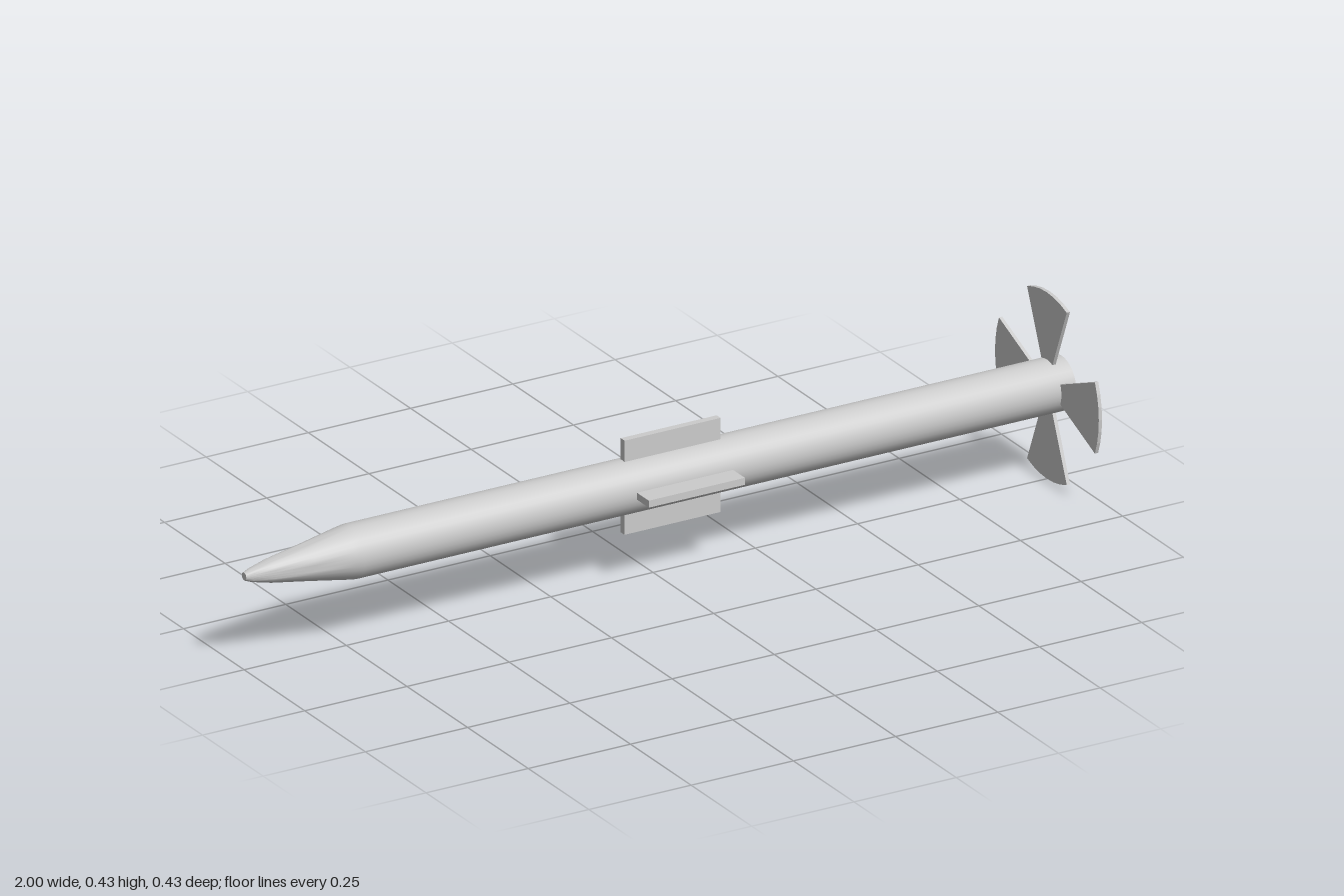
import * as THREE from 'three';
import { toCreasedNormals } from 'three/addons/utils/BufferGeometryUtils.js';

const AXIS_Y = 0.215;

export function createModel() {
  const model = new THREE.Group();
  model.name = 'torpedo';
  const material = new THREE.MeshStandardMaterial({ color: 0xcccccc });

  const add = (parent, name, geometry) => {
    const mesh = new THREE.Mesh(geometry, material);
    mesh.name = name;
    parent.add(mesh);
    return mesh;
  };

  // Hull: turned profile from the flat tail (x = 1) to the blunt nose tip (x = -1)
  const profile = [
    [0, -1], [0.06, -1], [0.06, 0.74], [0.055, 0.7], [0.041, 0.85],
    [0.026, 0.94], [0.015, 0.985], [0.009, 1], [0, 1],
  ].map(([r, h]) => new THREE.Vector2(r, h));
  profile[3].set(0.057, 0.76);
  const hull = add(model, 'hull',
    toCreasedNormals(new THREE.LatheGeometry(profile, 32), Math.PI / 6));
  hull.rotation.z = Math.PI / 2;
  hull.position.y = AXIS_Y;

  // Propeller blade: a thin ring sector with its root inside the hull
  const half = Math.PI / 8, steps = 6, rim = 0.214, root = 0.045, thick = 0.008;
  const outline = [];
  for (let i = 0; i <= steps; i++) {
    const a = Math.PI / 2 - half + (2 * half * i) / steps;
    outline.push(new THREE.Vector2(rim * Math.cos(a), rim * Math.sin(a)));
  }
  for (const a of [Math.PI / 2 + half, Math.PI / 2 - half]) {
    outline.push(new THREE.Vector2(root * Math.cos(a), root * Math.sin(a)));
  }
  const bladeGeometry = new THREE.ExtrudeGeometry(new THREE.Shape(outline),
    { depth: thick, bevelEnabled: false });
  bladeGeometry.translate(0, 0, -thick / 2).rotateY(Math.PI / 2);

  // Mid fin: flat plate along the hull
  const finGeometry = new THREE.BoxGeometry(0.235, 0.06, 0.016);
  finGeometry.translate(0, 0.078, 0);

  // Four blades and four fins around the long axis
  const propeller = new THREE.Group();
  propeller.name = 'propeller';
  propeller.position.set(0.967, AXIS_Y, 0);
  const fins = new THREE.Group();
  fins.name = 'midFins';
  fins.position.set(0.043, AXIS_Y, 0);
  for (let i = 0; i < 4; i++) {
    add(propeller, 'blade', bladeGeometry).rotation.x = (i * Math.PI) / 2;
    add(fins, 'fin', finGeometry).rotation.x = (i * Math.PI) / 2;
  }
  model.add(propeller, fins);
  return model;
}
